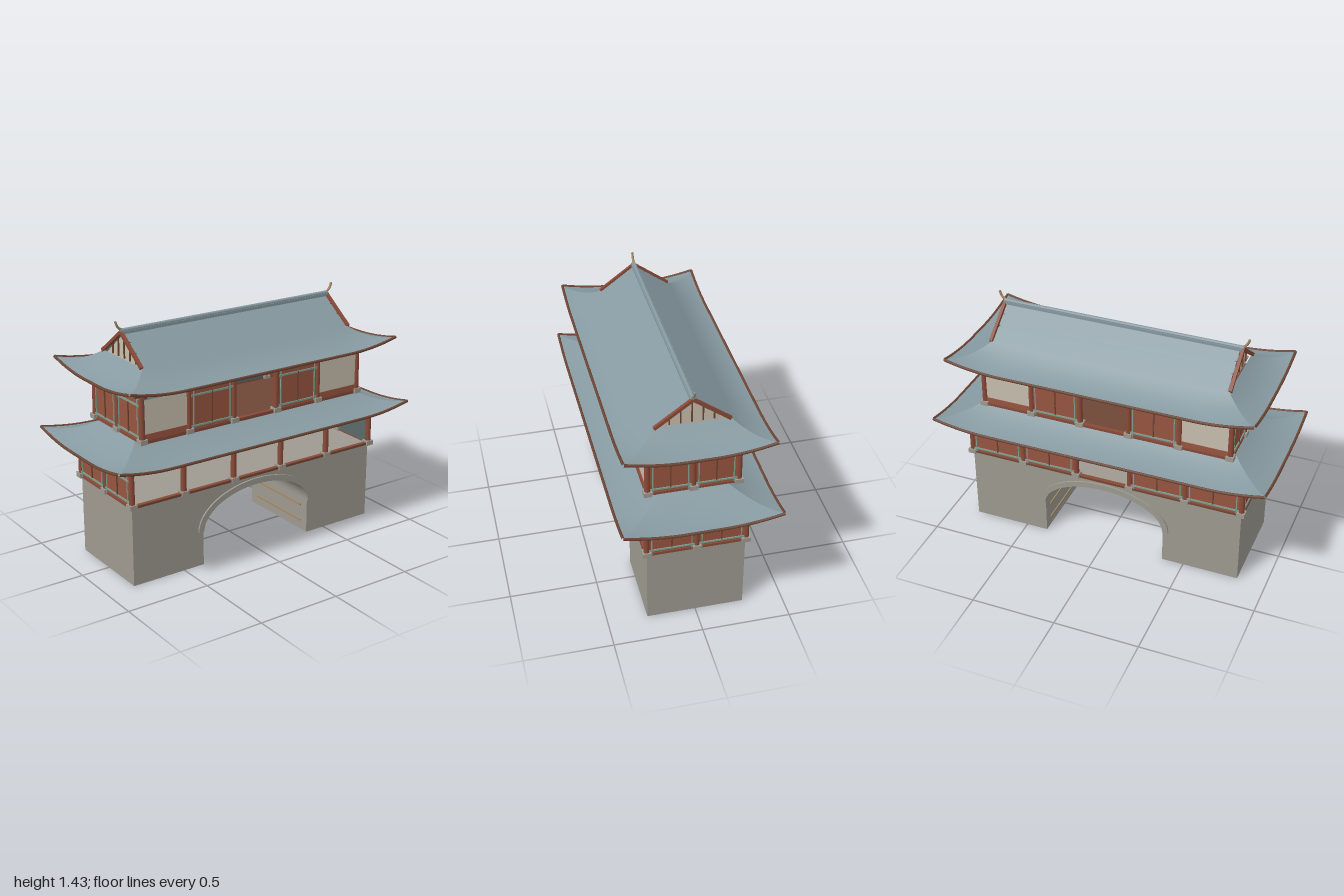
import * as THREE from 'three';

const mat = (color, extra = {}) => new THREE.MeshStandardMaterial({ color, ...extra });
const stone = mat(0x9e9a90), red = mat(0x98553f), wood = mat(0x8a4a38), brown = mat(0x6e4635);
const green = mat(0x7f9f92), cream = mat(0xc8bfae), slate = mat(0x5c6968), gold = mat(0xa08a66);
const tile = mat(0x879aa1, { side: THREE.DoubleSide });

function add(parent, name, geo, material, x = 0, y = 0, z = 0) {
  const m = new THREE.Mesh(geo, material);
  m.name = name;
  m.position.set(x, y, z);
  parent.add(m);
  return m;
}
const box = (parent, name, material, w, h, d, x, y, z) =>
  add(parent, name, new THREE.BoxGeometry(w, h, d), material, x, y, z);

function group(parent, name, x = 0, y = 0, z = 0, turn = 0) {
  const g = new THREE.Group();
  g.name = name;
  g.position.set(x, y, z);
  g.rotation.y = turn;
  parent.add(g);
  return g;
}

// Smooth sheet from a rule point(u, v), u and v in 0..1
function sheet(point, nu, nv) {
  const pos = [], idx = [];
  for (let j = 0; j <= nv; j++)
    for (let i = 0; i <= nu; i++) pos.push(...point(i / nu, j / nv).toArray());
  for (let j = 0; j < nv; j++)
    for (let i = 0; i < nu; i++) {
      const a = j * (nu + 1) + i, c = a + nu + 1;
      idx.push(a, a + 1, c + 1, a, c + 1, c);
    }
  const g = new THREE.BufferGeometry();
  g.setAttribute('position', new THREE.Float32BufferAttribute(pos, 3));
  g.setIndex(idx);
  g.computeVertexNormals();
  return g;
}

// Four concave slopes with lifted corners and a wooden eave edge
function hippedRoof(parent, name, { ex, ez, inset, y0, h, lift }) {
  const g = group(parent, name);
  for (let k = 0; k < 4; k++) {
    const [w, d] = k % 2 ? [ez, ex] : [ex, ez];
    const point = (u, t) => {
      const half = w - inset * t, x = (2 * u - 1) * half;
      const corner = Math.max(0, 1 - (half - Math.abs(x)) / 0.34);
      const y = y0 + h * (0.3 * t + 0.7 * t * t) + lift * corner ** 2 * (1 - t) ** 2;
      return new THREE.Vector3(x, y, d - inset * t);
    };
    const side = group(g, 'roofSide', 0, 0, 0, k * Math.PI / 2);
    add(side, 'roofSlope', sheet(point, 48, 10), tile);
    const eave = new THREE.CatmullRomCurve3(Array.from({ length: 33 }, (_, i) => point(i / 32, 0)));
    add(side, 'eaveEdge', new THREE.TubeGeometry(eave, 64, 0.008, 6), brown);
  }
}

// One bay of wall, facing +z in its own frame
function bay(parent, kind, w, h, x, y, z, turn) {
  const g = group(parent, kind + 'Bay', x, y, z, turn);
  if (kind === 'plaster') {
    box(g, 'plasterPanel', cream, w, h, 0.012, 0, h / 2, 0);
    box(g, 'dado', red, w, 0.045, 0.02, 0, 0.0225, 0);
    return;
  }
  box(g, 'panel', red, w, h, 0.012, 0, h / 2, 0);
  box(g, 'panelLining', slate, w, h, 0.004, 0, h / 2, -0.008);
  for (const yy of [0.028, h - 0.035]) box(g, 'panelRail', green, w, 0.01, 0.008, 0, yy, 0.008);
  box(g, 'panelSeam', brown, 0.007, h - 0.06, 0.008, 0, h / 2, 0.008);
  for (const s of [-1, 1]) box(g, 'panelStile', green, 0.006, h, 0.008, s * (w / 2 - 0.018), h / 2, 0.008);
}

function storey(parent, name, { xs, hz, y0, y1, front, back }) {
  const g = group(parent, name), hx = xs[xs.length - 1], h = y1 - y0;
  const wallH = h - 0.045;
  // Columns with plinths and crossed brackets
  const spots = xs.flatMap(x => [[x, hz], [x, -hz]]).concat([[hx, 0], [-hx, 0]]);
  for (const [x, z] of spots) {
    const c = group(g, 'column', x, y0, z);
    add(c, 'shaft', new THREE.CylinderGeometry(0.015, 0.017, h, 14), wood, 0, h / 2, 0);
    box(c, 'plinth', stone, 0.046, 0.028, 0.046, 0, 0.006, 0);
    box(c, 'bracketX', brown, 0.085, 0.011, 0.018, 0, h - 0.022, 0);
    box(c, 'bracketZ', brown, 0.018, 0.011, 0.085, 0, h - 0.022, 0);
    box(c, 'bracketCap', green, 0.05, 0.01, 0.05, 0, h - 0.008, 0);
  }
  // Sill, tie beam and eave beam on every side
  const beams = [['sill', wood, 0.016, y0 + 0.002], ['tieBeam', green, 0.024, y1 - 0.034], ['eaveBeam', green, 0.01, y1 + 0.004]];
  for (const [n, m, t, y] of beams)
    for (const s of [-1, 1]) {
      box(g, n, m, 2 * hx, t, 0.022, 0, y, s * hz);
      box(g, n, m, 0.022, t, 2 * hz, s * hx, y, 0);
    }
  // Wall bays
  for (let i = 0; i < xs.length - 1; i++) {
    const x = (xs[i] + xs[i + 1]) / 2, w = xs[i + 1] - xs[i] - 0.02;
    if (front[i]) bay(g, front[i], w, wallH, x, y0, hz, 0);
    if (back[i]) bay(g, back[i], w, wallH, x, y0, -hz, Math.PI);
  }
  for (const s of [-1, 1])
    for (const q of [-1, 1]) bay(g, 'panelled', hz - 0.02, wallH, s * hx, y0, q * hz / 2, s * Math.PI / 2);
}

// Elliptical arch outline, from right foot to left foot
const archPoints = (rx, ry, y) => Array.from({ length: 33 }, (_, i) =>
  new THREE.Vector2(rx * Math.cos(i * Math.PI / 32), y + ry * Math.sin(i * Math.PI / 32)));

function gateBase(parent) {
  const g = group(parent, 'gateBase');
  const V = (x, y) => new THREE.Vector2(x, y);
  const outline = new THREE.Shape([V(0.83, 0), V(0.83, 0.455), V(-0.83, 0.455), V(-0.83, 0), V(-0.37, 0),
    ...archPoints(0.37, 0.2, 0.21).reverse(), V(0.37, 0)]);
  add(g, 'stonePiers', new THREE.ExtrudeGeometry(outline, { depth: 0.55, bevelEnabled: false }), stone, 0, 0, -0.275);
  const ring = new THREE.Shape([...archPoints(0.405, 0.235, 0.21), ...archPoints(0.37, 0.2, 0.21).reverse()]);
  add(g, 'archSurround', new THREE.ExtrudeGeometry(ring, { depth: 0.57, bevelEnabled: false }), stone, 0, 0, -0.285);
  for (const s of [-1, 1])
    for (const y of [0.06, 0.16]) box(g, 'passageRail', gold, 0.008, 0.01, 0.44, s * 0.367, y, 0);
  box(g, 'terrace', stone, 1.68, 0.018, 0.575, 0, 0.464, 0);
  for (const s of [-1, 1]) box(g, 'terraceEdge', brown, 1.68, 0.01, 0.01, 0, 0.472, s * 0.285);
}

// Gable-topped upper part: straight slopes, gable ends, ridge and horns
function gableTop(parent) {
  const g = group(parent, 'gableTop');
  const foot = 0.205, yFoot = 1.21, yTop = 1.36;
  const slopeY = z => yTop - (yTop - yFoot) * Math.abs(z) / foot;
  for (const turn of [0, Math.PI]) {
    const slope = group(g, 'mainSlope', 0, 0, 0, turn);
    add(slope, 'roofSlope', sheet((u, v) => {
      const z = foot * (1 - v);
      return new THREE.Vector3((2 * u - 1) * 0.69, slopeY(z), z);
    }, 1, 6), tile);
    const end = group(g, 'gableEnd', 0, 0, 0, turn);
    const tri = new THREE.Shape([new THREE.Vector2(-foot, yFoot - 0.02), new THREE.Vector2(foot, yFoot - 0.02), new THREE.Vector2(0, yTop - 0.008)]);
    const panel = add(end, 'gablePanel', new THREE.ExtrudeGeometry(tri, { depth: 0.01, bevelEnabled: false }), cream, 0.675, 0, 0);
    panel.rotation.y = Math.PI / 2;
    for (const z of [-0.12, -0.06, 0, 0.06, 0.12]) {
      const len = slopeY(z) - yFoot;
      box(end, 'gableBatten', brown, 0.01, len, 0.007, 0.688, yFoot + len / 2, z);
    }
    for (const s of [-1, 1]) {
      const board = box(end, 'bargeBoard', wood, 0.018, 0.018, Math.hypot(foot, yTop - yFoot), 0.705, (yFoot + yTop) / 2, s * foot / 2);
      board.rotation.x = s * Math.atan2(yTop - yFoot, foot);
    }
    const horn = new THREE.CatmullRomCurve3([[0.685, 1.37], [0.71, 1.378], [0.727, 1.395], [0.737, 1.42]]
      .map(([x, y]) => new THREE.Vector3(x, y, 0)));
    add(end, 'ridgeHorn', new THREE.TubeGeometry(horn, 12, 0.007, 8), gold);
    add(end, 'hornTip', new THREE.SphereGeometry(0.007, 8, 6), gold, 0.737, 1.42, 0);
  }
  box(g, 'ridgeBase', tile, 1.41, 0.018, 0.028, 0, 1.357, 0);
  const cap = add(g, 'ridgeCap', new THREE.CylinderGeometry(0.011, 0.011, 1.42, 10), tile, 0, 1.369, 0);
  cap.rotation.z = Math.PI / 2;
}

export function createModel() {
  const model = new THREE.Group();
  model.name = 'gatehouse';
  gateBase(model);
  const P = 'panelled', S = 'plaster';
  storey(model, 'lowerStorey', {
    xs: [-0.83, -0.5, -0.165, 0.165, 0.5, 0.83], hz: 0.277, y0: 0.47, y1: 0.7,
    front: [], back: [P, P, null, P, P],
  });
  hippedRoof(model, 'lowerRoof', { ex: 0.992, ez: 0.434, inset: 0.24, y0: 0.713, h: 0.097, lift: 0.04 });
  box(model, 'upperFloor', brown, 1.49, 0.014, 0.51, 0, 0.81, 0);
  storey(model, 'upperStorey', {
    xs: [-0.74, -0.445, -0.147, 0.147, 0.445, 0.74], hz: 0.25, y0: 0.815, y1: 1.1,
    front: [S, P, null, P, S], back: [S, P, null, P, S],
  });
  box(model, 'upperCeiling', brown, 1.47, 0.008, 0.49, 0, 1.112, 0);
  hippedRoof(model, 'upperRoof', { ex: 0.9, ez: 0.405, inset: 0.2, y0: 1.115, h: 0.095, lift: 0.043 });
  gableTop(model);
  return model;
}
